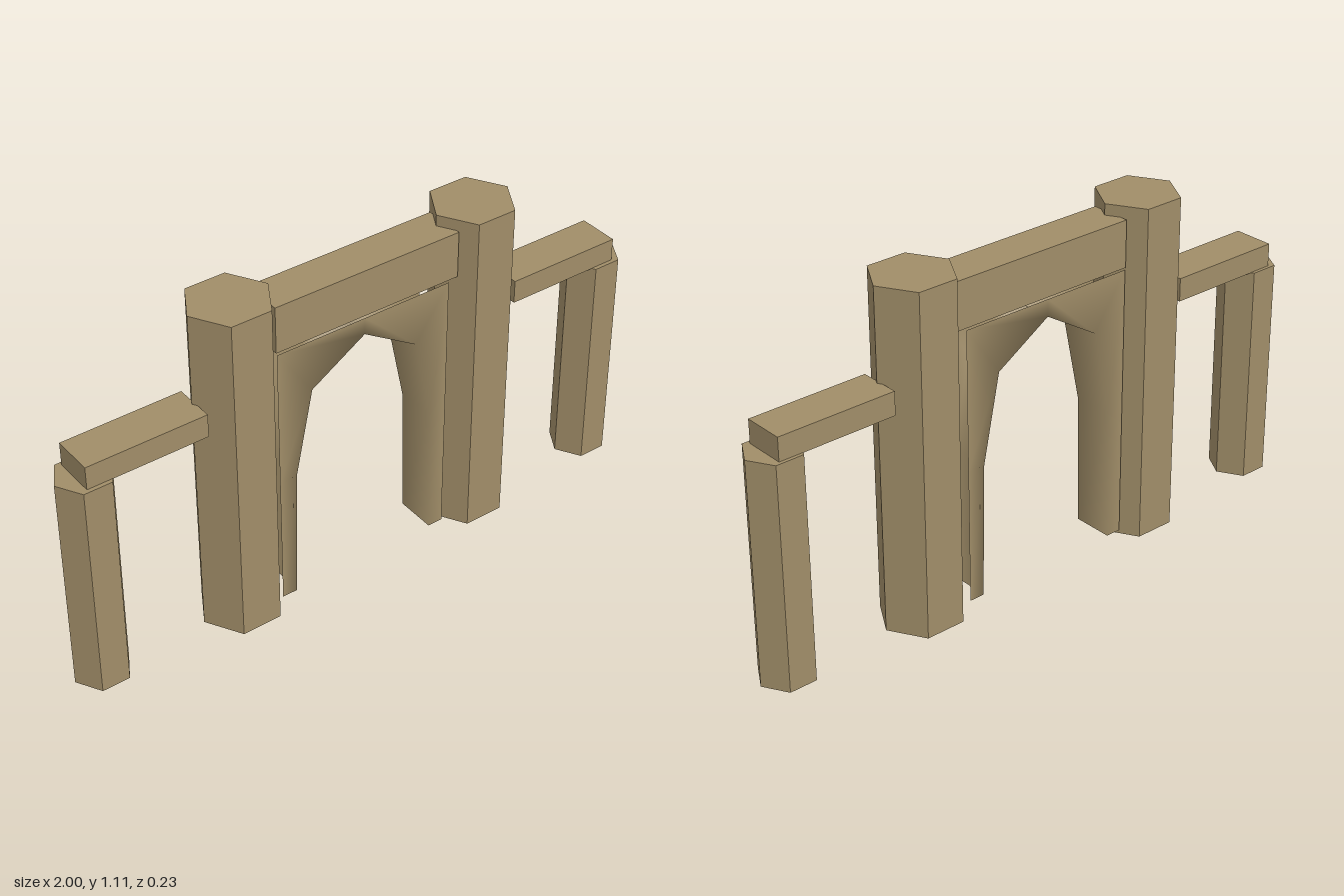
import * as THREE from 'three';
import { mergeGeometries } from 'three/addons/utils/BufferGeometryUtils.js';

export function createModel() {
  const model = new THREE.Group();
  model.name = 'gateway';
  const stone = new THREE.MeshStandardMaterial({ color: 0xa08d68, side: THREE.DoubleSide });
  stone.name = 'sandstone';

  const add = (name, geometry, x = 0, y = 0, z = 0) => {
    const mesh = new THREE.Mesh(geometry, stone);
    mesh.name = name;
    mesh.position.set(x, y, z);
    model.add(mesh);
  };

  // Hexagonal hollow column: closed on top, open at the foot
  const hexColumn = (radius, height) => {
    const walls = new THREE.CylinderGeometry(radius, radius, height, 6, 1, true, Math.PI / 2);
    const cap = new THREE.CircleGeometry(radius, 6).rotateX(-Math.PI / 2).translate(0, height / 2, 0);
    const column = mergeGeometries([walls, cap]).toNonIndexed();
    column.computeVertexNormals();
    return column.translate(0, height / 2, 0);
  };

  // Tall pillars, outer posts and the beams joining them
  for (const [side, s] of [['left', 1], ['right', -1]]) {
    add(side + 'Pillar', hexColumn(0.132, 1.11), s * 0.424);
    add(side + 'Post', hexColumn(0.091, 0.73), s * 0.909, 0.01);
    add(side + 'Beam', new THREE.BoxGeometry(0.39, 0.076, 0.134), s * 0.742, 0.777, -0.001);
  }

  // Lintel over the arch
  add('lintel', new THREE.BoxGeometry(0.64, 0.152, 0.134), 0.004, 0.998, -0.001);

  // Arch shell: front wall, soffit and back wall with softly blended normals.
  // Half profile as [inner x, inner y, outer x, outer y], foot to crown.
  const half = [
    [0.252, 0.02, 0.303, 0.02],
    [0.244, 0.46, 0.303, 0.46],
    [0.185, 0.745, 0.303, 0.915],
    [0, 0.86, 0, 0.915],
  ];
  const profile = [
    ...half.map(([ix, iy, ox, oy]) => [-ix, iy, -ox, oy]),
    ...half.slice(0, -1).reverse(),
  ];
  const depth = 0.067;
  const positions = [];
  const index = [];
  profile.forEach(([ix, iy, ox, oy], i) => {
    positions.push(ox, oy, depth, ix, iy, depth, ix, iy, -depth, ox, oy, -depth);
    if (i === profile.length - 1) return;
    for (let j = 0; j < 3; j++) {
      const a = i * 4 + j;
      index.push(a, a + 1, a + 5, a, a + 5, a + 4);
    }
  });
  const arch = new THREE.BufferGeometry();
  arch.setAttribute('position', new THREE.Float32BufferAttribute(positions, 3));
  arch.setIndex(index);
  arch.computeVertexNormals();
  add('arch', arch, -0.012);

  return model;
}
